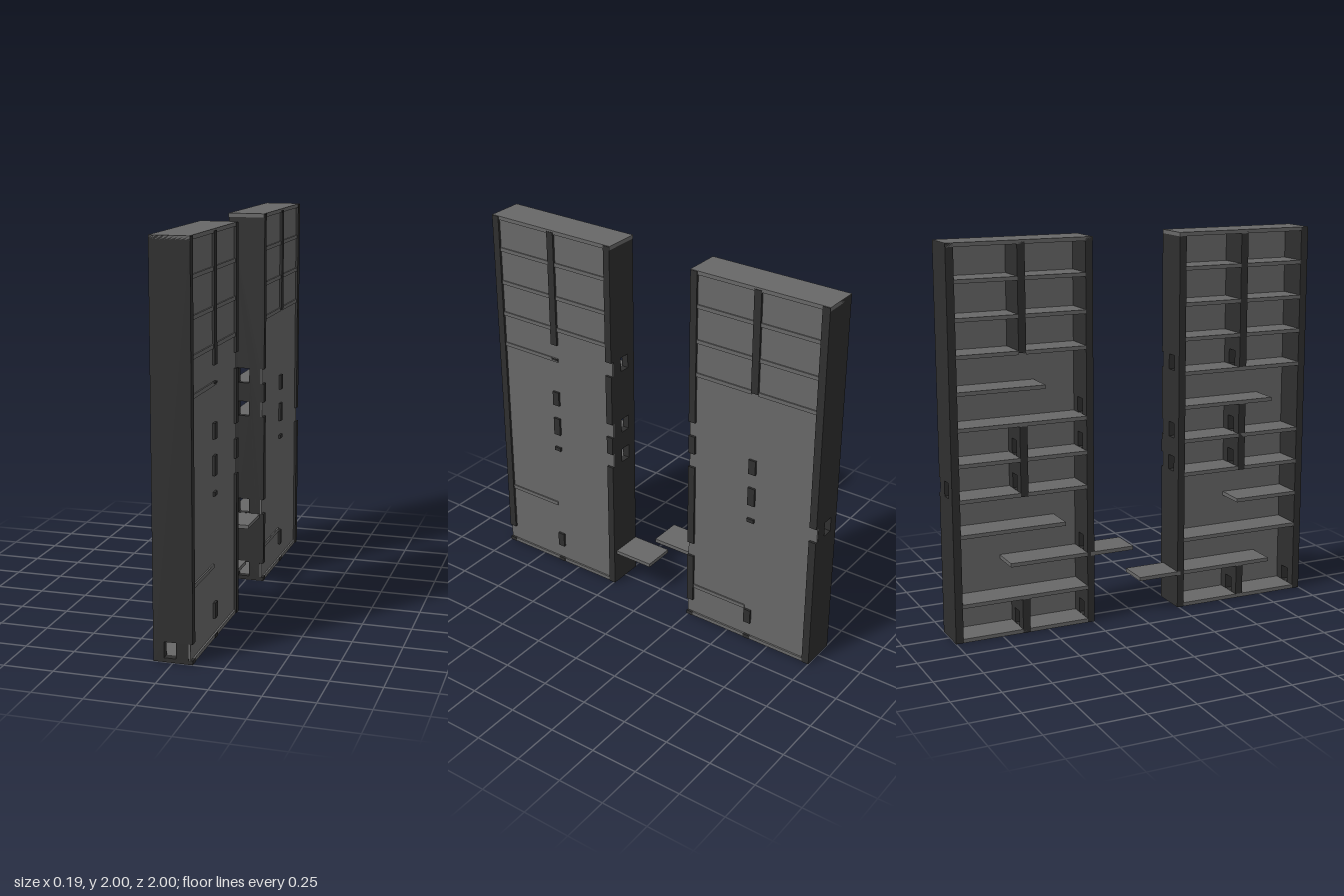
import * as THREE from 'three';

const boardMat = new THREE.MeshStandardMaterial({ color: 0x2f2f2f });
boardMat.name = 'dark upright';
const shelfMat = new THREE.MeshStandardMaterial({ color: 0x686868 });
shelfMat.name = 'grey board';

const BACK = -0.098, EDGE = 0.097, PANEL = 0.085;
const T = 0.02; // shelf thickness

// Box given by its limits on each axis
function slab(name, x0, x1, y0, y1, z0, z1, mat = shelfMat) {
  const mesh = new THREE.Mesh(new THREE.BoxGeometry(x1 - x0, y1 - y0, Math.abs(z1 - z0)), mat);
  mesh.position.set((x0 + x1) / 2, (y0 + y1) / 2, (z0 + z1) / 2);
  mesh.name = name;
  return mesh;
}

// Upright with square windows, its outer edge notched beside each window
function upright(name, y0, y1, z0, z1, windows) {
  const s = new THREE.Shape();
  s.moveTo(BACK, y0);
  s.lineTo(EDGE, y0);
  for (const w of windows) {
    s.lineTo(EDGE, w);
    s.lineTo(PANEL - 0.008, w);
    s.lineTo(PANEL - 0.008, w + 0.08);
    s.lineTo(EDGE, w + 0.08);
  }
  s.lineTo(EDGE, y1);
  s.lineTo(BACK, y1);
  for (const w of windows) {
    const h = new THREE.Path();
    h.moveTo(-0.045, w + 0.001);
    h.lineTo(-0.045, w + 0.08);
    h.lineTo(0.015, w + 0.08);
    h.lineTo(0.015, w + 0.001);
    h.closePath();
    s.holes.push(h);
  }
  const geo = new THREE.ExtrudeGeometry(s, { depth: Math.abs(z1 - z0), bevelEnabled: false });
  const mesh = new THREE.Mesh(geo, boardMat);
  mesh.position.z = Math.min(z0, z1);
  mesh.name = name;
  return mesh;
}

// One shelving tower; side is +1 (front) or -1 (back)
function tower(name, side, spec) {
  const g = new THREE.Group();
  g.name = name;
  const z = (v) => v * side;

  // Side walls
  g.add(upright('outerWall', 0, 1.998, z(0.96), z(1), spec.outer));
  g.add(upright('innerWall', 0, 1.998, z(0.242), z(0.28), spec.inner));

  // Middle dividers
  for (const [y0, y1, wins] of spec.dividers) g.add(upright('divider', y0, y1, z(0.6), z(0.64), wins));

  // Closing panel, roof and floor
  g.add(slab('panel', PANEL - 0.02, PANEL, 0.005, 1.99, z(0.243), z(0.999)));
  g.add(slab('roof', BACK, 0.094, 1.98, 2, z(0.24), z(1)));
  g.add(slab('floor', BACK, 0.094, 0, T, z(0.28), z(0.96)));

  // Upper shelves, two columns
  for (const top of [1.46, 1.64, 1.825])
    for (const [a, b] of [[0.28, 0.6], [0.64, 0.96]])
      g.add(slab('upperShelf', BACK, 0.092, top - T, top, z(a), z(b)));

  // Lower platforms, some leaving a gap to climb through
  for (const [top, a, b] of spec.shelves) g.add(slab('platform', BACK, 0.075, top - T, top, z(a), z(b)));

  // Shelf edges that come through the panel
  for (const [top, a, b] of spec.edges) g.add(slab('shelfEdge', 0.07, 0.092, top - T, top, z(a), z(b)));

  // Gangplank towards the other tower
  g.add(slab('gangplank', BACK, 0.075, spec.plank - T, spec.plank, z(0.02), z(0.26)));
  return g;
}

export function createModel() {
  const model = new THREE.Group();
  model.name = 'twinShelfTowers';
  model.add(tower('frontTower', 1, {
    outer: [0.02],
    inner: [0.74, 0.92, 1.28],
    dividers: [[0, 0.18, [0.02]], [0.72, 1.08, [0.74, 0.92]], [1.27, 1.99, [1.28]]],
    shelves: [[0.2, 0.28, 0.8], [0.38, 0.28, 0.96], [0.56, 0.6, 0.96], [0.74, 0.28, 0.96],
      [0.92, 0.28, 0.96], [1.1, 0.28, 0.8], [1.28, 0.28, 0.96]],
    edges: [[1.28, 0.6, 0.96], [0.38, 0.64, 0.96]],
    plank: 0.2,
  }));
  model.add(tower('backTower', -1, {
    outer: [0.74],
    inner: [0.02, 0.38, 0.92, 1.1],
    dividers: [[0, 0.18, [0.02]], [0.72, 1.08, [0.74, 0.92]], [1.45, 1.99, []]],
    shelves: [[0.2, 0.28, 0.96], [0.38, 0.28, 0.7], [0.56, 0.4, 0.96], [0.74, 0.28, 0.96],
      [0.92, 0.28, 0.96], [1.1, 0.28, 0.96], [1.28, 0.5, 0.96]],
    edges: [[0.2, 0.28, 0.6]],
    plank: 0.38,
  }));
  return model;
}
